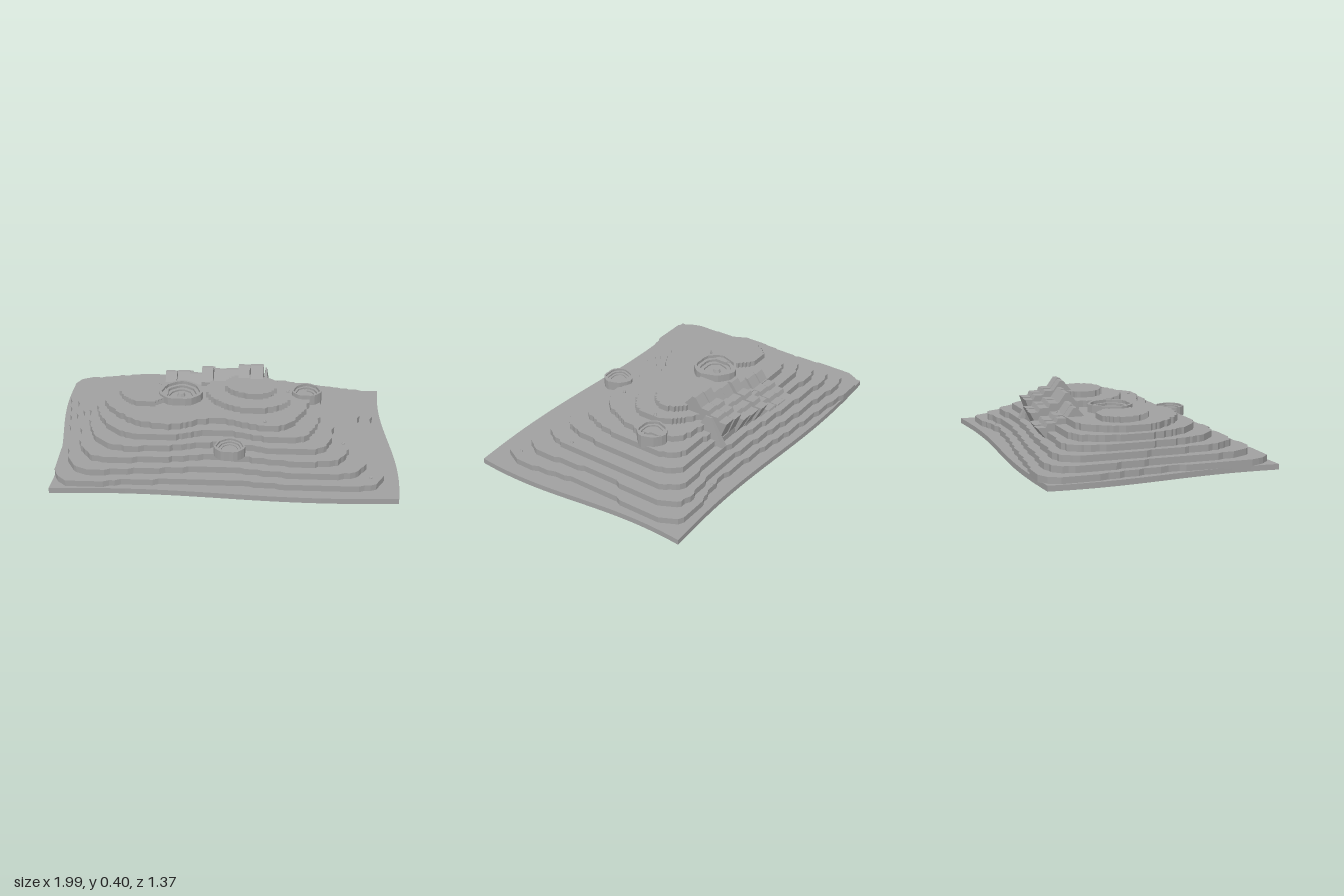
import * as THREE from 'three';

const stone = new THREE.MeshStandardMaterial({ color: 0xa0a0a0 });
stone.name = 'grey stone';

function add(group, name, geometry, x = 0, y = 0, z = 0) {
  const flat = geometry.index ? geometry.toNonIndexed() : geometry;
  flat.computeVertexNormals();
  const mesh = new THREE.Mesh(flat, stone);
  mesh.name = name;
  mesh.position.set(x, y, z);
  group.add(mesh);
}

// Lowest and highest shared contours as x, z; the terraces between are blended
const outer = [[-0.94, -0.65], [-0.5, -0.65], [0.05, -0.58], [0.4, -0.55], [0.83, -0.57], [0.86, 0.03],
  [0.88, 0.55], [0.55, 0.61], [0, 0.57], [-0.45, 0.59], [-0.88, 0.6], [-0.92, 0]];
const inner = [[-0.6, -0.33], [-0.42, -0.37], [0.03, -0.34], [0.28, -0.33], [0.44, -0.27], [0.49, -0.04],
  [0.37, 0.24], [0.24, 0.27], [-0.05, 0.19], [-0.3, 0.28], [-0.53, 0.21], [-0.71, -0.05]];

// Slightly lobed oval contour for a mound
function oval(cx, cz, rx, rz) {
  return Array.from({ length: 10 }, (_, i) => {
    const a = (i / 10) * Math.PI * 2;
    const k = 1 + 0.08 * Math.sin(2 * a);
    return [cx + rx * k * Math.cos(a), cz + rz * k * Math.sin(a)];
  });
}

// Smooth contour snapped to a fine grid, which gives the notched risers
function contourSlab(outline, bottom, top) {
  const curve = new THREE.CatmullRomCurve3(outline.map(([x, z]) => new THREE.Vector3(x, -z, 0)), true);
  const grid = 0.016;
  const points = [];
  for (const p of curve.getSpacedPoints(170)) {
    const q = new THREE.Vector2(Math.round(p.x / grid) * grid, Math.round(p.y / grid) * grid);
    if (!points.length || points.at(-1).distanceTo(q) > 0.001) points.push(q);
  }
  if (points[0].distanceTo(points.at(-1)) < 0.001) points.pop();
  const geometry = new THREE.ExtrudeGeometry(new THREE.Shape(points), { depth: top - bottom, bevelEnabled: false });
  return geometry.rotateX(-Math.PI / 2).translate(0, bottom, 0);
}

// Base sheet with waving edges and a shallow belly
function baseSheet() {
  const geometry = new THREE.BoxGeometry(2, 1, 2, 32, 1, 24);
  const p = geometry.attributes.position;
  for (let i = 0; i < p.count; i++) {
    const u = p.getX(i), v = p.getZ(i);
    const belly = 0.014 * (1 - (1 - u * u) * (1 - v * v));
    p.setXYZ(i,
      0.961 * u + 0.035 * Math.sin(2.4 * v),
      p.getY(i) > 0 ? 0.045 : belly,
      0.66 * v + 0.025 * Math.sin(2.8 * u));
  }
  return geometry;
}

// Crater bowl: outer wall up to the rim, then rings stepping down to the floor
function crater(group, name, x, y, z, radius, height) {
  const profile = [new THREE.Vector2(radius, -height)];
  for (const [r, h] of [[1, 0.35], [0.88, 1], [0.72, 0.6], [0.54, 0.28], [0.34, 0.06]]) {
    const wall = profile.at(-1).x;
    profile.push(new THREE.Vector2(wall, h * height), new THREE.Vector2(r * radius, h * height));
  }
  profile.push(new THREE.Vector2(0, 0.06 * height));
  const geometry = new THREE.LatheGeometry(profile, 22);
  // Ragged outline
  const p = geometry.attributes.position;
  for (let i = 0; i < p.count; i++) {
    const a = Math.atan2(p.getZ(i), p.getX(i));
    const k = 1 + 0.05 * Math.sin(3 * a) + 0.03 * Math.sin(7 * a);
    p.setX(i, p.getX(i) * k);
    p.setZ(i, p.getZ(i) * k);
  }
  add(group, name, geometry, x, y, z);
}

// Slice of the fault ridge: sloped crest in front, ledges and an overhang behind
function ridgeSlice(width, crest, height) {
  const shape = new THREE.Shape();
  shape.moveTo(crest - 0.07, 0.15);
  shape.lineTo(crest - 0.07, height - 0.07);
  shape.lineTo(crest - 0.01, height);
  shape.lineTo(crest + 0.01, height);
  for (let k = 0; k < 3; k++) {
    const y = height - 0.055 - 0.023 * k;
    shape.lineTo(crest + 0.05 + 0.06 * k, y);
    shape.lineTo(crest + 0.1 + 0.06 * k, y);
  }
  shape.lineTo(crest + 0.16, 0.14);
  return new THREE.ExtrudeGeometry(shape, { depth: width, bevelEnabled: false }).rotateY(Math.PI / 2);
}

export function createModel() {
  const model = new THREE.Group();
  model.name = 'terracedHill';
  add(model, 'baseSheet', baseSheet());

  // Six terraces shared by both mounds
  for (let i = 0; i < 6; i++) {
    const outline = outer.map(([x, z], j) => [
      THREE.MathUtils.lerp(x, inner[j][0], i / 5),
      THREE.MathUtils.lerp(z, inner[j][1], i / 5),
    ]);
    const top = 0.08 + 0.037 * i;
    add(model, `terrace${i + 1}`, contourSlab(outline, top - 0.039, top));
  }
  add(model, 'leftMound', contourSlab(oval(-0.48, -0.08, 0.14, 0.15), 0.26, 0.297));
  add(model, 'rightMound', contourSlab(oval(0.14, -0.09, 0.25, 0.22), 0.26, 0.302));
  add(model, 'rightSummit', contourSlab(oval(0.15, -0.11, 0.15, 0.125), 0.3, 0.337));

  // Fault ridge, rising in three stages and bending forward along x
  const ridge = new THREE.Group();
  ridge.name = 'faultRidge';
  const width = 0.59 / 8;
  for (let i = 0; i < 8; i++) {
    const height = 0.315 + 0.04 * Math.floor(i / 3) + 0.005 * (i % 2);
    const crest = 0.315 - 0.0105 * i + 0.006 * (i % 2);
    add(ridge, 'ridgeSlice', ridgeSlice(width * (i % 3 ? 1 : 0.9), crest, height), -0.37 + i * width);
  }
  // Sloping end of the ridge
  const end = new THREE.CylinderGeometry(0.006, 0.03, 0.16, 4).rotateY(Math.PI / 4).scale(1, 1, 5);
  add(ridge, 'ridgeEnd', end, 0.235, 0.24, -0.36);
  model.add(ridge);

  crater(model, 'summitCrater', -0.26, 0.265, -0.07, 0.125, 0.045);
  add(model, 'craterPeak', new THREE.CylinderGeometry(0.018, 0.026, 0.02, 7), -0.26, 0.276, -0.08);
  crater(model, 'sideCrater', 0.48, 0.25, -0.15, 0.085, 0.04);
  crater(model, 'frontCrater', 0.05, 0.187, 0.42, 0.085, 0.028);

  // Scattered pebbles
  const pebbles = [[0.48, 0.08, -0.55], [0.37, 0.303, -0.09], [0.24, 0.267, 0.23], [0.69, 0.154, 0.26], [0.84, 0.08, 0.51]];
  for (const [x, y, z] of pebbles) add(model, 'pebble', new THREE.IcosahedronGeometry(0.011), x, y, z);
  return model;
}
